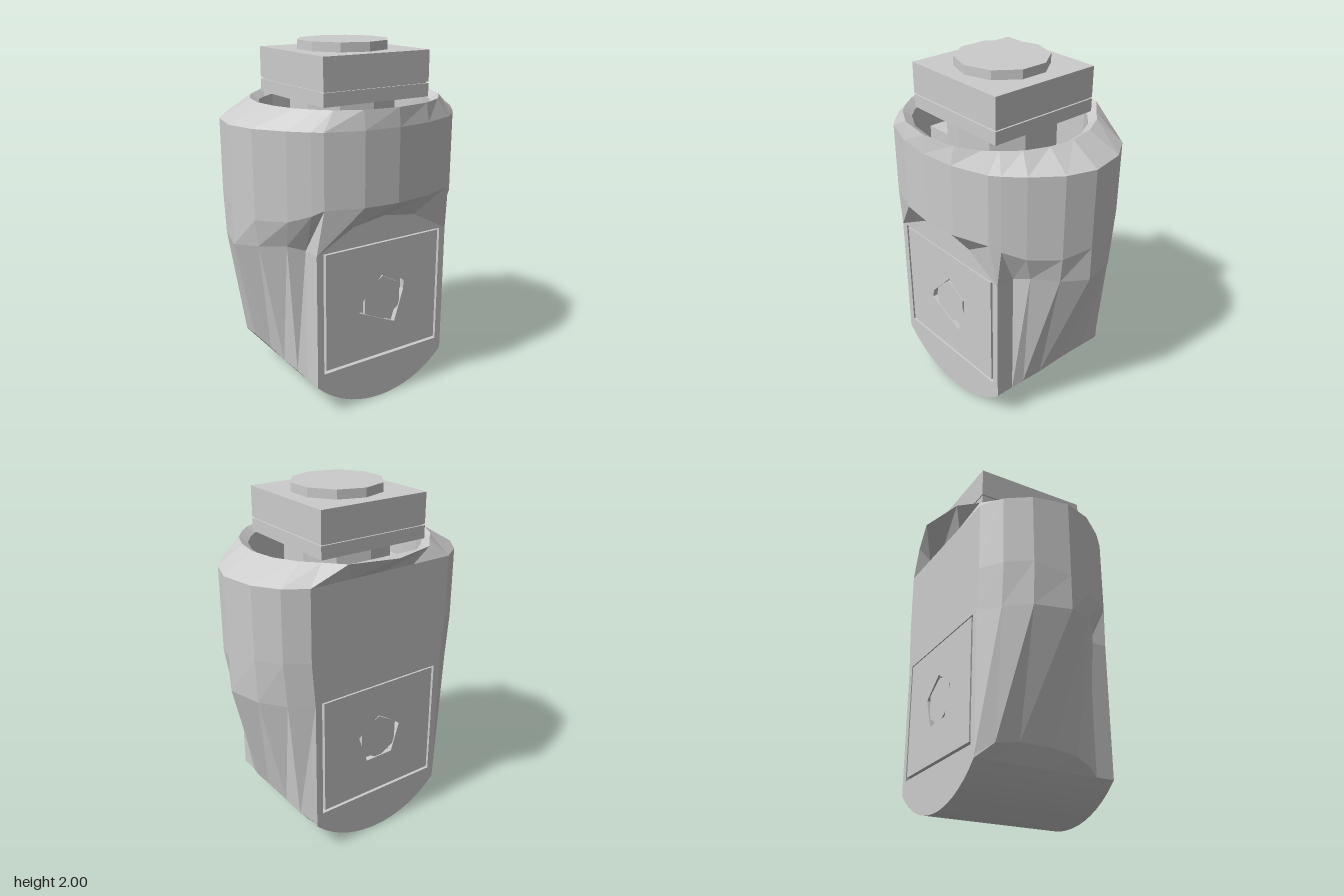
import * as THREE from 'three';

const mat = new THREE.MeshStandardMaterial({ color: 0xcccccc, flatShading: true, side: THREE.DoubleSide });

function add(parent, name, geo, x = 0, y = 0, z = 0) {
  const mesh = new THREE.Mesh(geo, mat);
  mesh.name = name;
  mesh.position.set(x, y, z);
  parent.add(mesh);
  return mesh;
}

const path = (points) => new THREE.Shape(points.map(([x, y]) => new THREE.Vector2(x, y)));
const rect = (x, y0, y1) => path([[-x, y0], [x, y0], [x, y1], [-x, y1]]);

// Half rings run from the front centre round +x to the back centre; the other half is mirrored.
const mirrorRing = (half) => [...half, ...half.slice(1, -1).reverse().map(([x, y, z]) => [-x, y, z])];

function loft(halfRings, keep = () => true) {
  const rings = halfRings.map(mirrorRing), n = rings[0].length, v = [];
  for (let r = 0; r + 1 < rings.length; r++) {
    for (let i = 0; i < n; i++) {
      if (!keep(i, n)) continue;
      const j = (i + 1) % n;
      const a = rings[r][i], b = rings[r][j], c = rings[r + 1][j], d = rings[r + 1][i];
      v.push(...a, ...b, ...c, ...a, ...c, ...d);
    }
  }
  const geo = new THREE.BufferGeometry();
  geo.setAttribute('position', new THREE.Float32BufferAttribute(v, 3));
  geo.computeVertexNormals();
  return geo;
}

// Core: round-bottomed slab with a square tunnel from front to back
function coreGeometry() {
  const R = 0.6, W = 0.43, pts = [];
  for (let i = 0; i <= 16; i++) {
    const x = -W + (2 * W * i) / 16;
    pts.push([x, R - Math.sqrt(R * R - x * x)]);
  }
  pts.push([W, 0.95], [0.2, 1.07], [0, 1.1], [-0.2, 1.07], [-W, 0.95]);
  const shape = path(pts);
  shape.holes.push(rect(0.39, 0.255, 0.955));
  return new THREE.ExtrudeGeometry(shape, { depth: 0.82, bevelEnabled: false }).translate(0, 0, -0.41);
}

export function createModel() {
  const model = new THREE.Group();
  model.name = 'model';
  add(model, 'core', coreGeometry());

  // Outline of the upper body, as x and z
  const outline = [[0, 0.53], [0.2, 0.51], [0.4, 0.44], [0.45, 0.4], [0.54, 0.31], [0.65, 0.16],
    [0.7, 0], [0.66, -0.2], [0.57, -0.33], [0.45, -0.41], [0.2, -0.41], [0, -0.41]];
  const at = (y) => outline.map(([x, z]) => [x, y, z]);

  const seam = [[0, 1.1, 0.41], [0.2, 1.07, 0.41], [0.43, 0.95, 0.41], [0.43, 0.95, 0.3],
    [0.52, 0.98, 0.26], [0.63, 0.97, 0.15], [0.7, 0.95, 0], [0.65, 0.95, -0.2],
    [0.55, 0.95, -0.33], [0.43, 0.95, -0.41], [0.2, 1.07, -0.41], [0, 1.1, -0.41]];
  const hip = [[0, 0.18, 0.41], [0.2, 0.18, 0.41], [0.43, 0.18, 0.41], [0.43, 0.18, 0.3],
    [0.46, 0.22, 0.24], [0.49, 0.25, 0.14], [0.5, 0.27, 0], [0.5, 0.27, -0.2],
    [0.49, 0.25, -0.33], [0.43, 0.2, -0.41], [0.2, 0.18, -0.41], [0, 0.18, -0.41]];
  const foot = hip.map(([x, , z]) => [Math.min(x, 0.43), 0.18, z]);

  // Flaring side walls of the lower body
  add(model, 'lowerSides', loft([foot, hip, seam], (i, n) => {
    const k = Math.min(i, n - 1 - i);
    return k >= 3 && k <= 8;
  }));

  // Upper shell with bevelled rim, rear lip and open cavity
  const chest = at(1.2);
  [[3, 1.17], [4, 1.13], [5, 1.12], [6, 1.15]].forEach(([i, y]) => { chest[i][1] = y; });
  const rim = [[0, 0.52], [0.2, 0.49], [0.33, 0.42], [0.39, 0.36], [0.46, 0.27], [0.51, 0.14],
    [0.53, 0], [0.5, -0.15], [0.43, -0.28], [0.35, -0.36], [0.26, -0.46], [0, -0.53]]
    .map(([x, z]) => [x, 1.7, z]);
  const inner = rim.map(([x, , z]) => [x * 0.91, 1.67, Math.max(z * 0.91, -0.39)]);
  const floor = inner.map(([x, , z]) => [x, 1.2, z]);
  const centre = floor.map(() => [0, 1.2, 0]);
  add(model, 'upperShell', loft([seam, chest, at(1.6), rim, inner, floor, centre]));

  // Square block filling the tunnel, with a faceted plug set in each face
  const block = new THREE.Group();
  block.name = 'tunnelBlock';
  model.add(block);
  add(block, 'blockBody', new THREE.BoxGeometry(0.75, 0.675, 0.76), 0, 0.61, 0);
  const frontHole = [[0.01, 0.78], [-0.15, 0.61], [-0.16, 0.56], [0.08, 0.45], [0.14, 0.64], [0.14, 0.69]];
  const backHole = [0, 1, 2, 3, 4].map((i) => {
    const a = (i * Math.PI * 2) / 5 + 0.3;
    return [0.15 * Math.cos(a), 0.61 + 0.15 * Math.sin(a)];
  });
  [[1, frontHole], [-1, backHole]].forEach(([side, hole]) => {
    const face = rect(0.375, 0.272, 0.947);
    face.holes.push(path(hole));
    const opts = { depth: 0.03, bevelEnabled: false };
    add(block, 'facePlate', new THREE.ExtrudeGeometry(face, opts), 0, 0, side > 0 ? 0.38 : -0.41);
    const plug = new THREE.CylinderGeometry(0.135, 0.135, 0.025, 6).rotateX(Math.PI / 2);
    add(block, 'plug', plug, 0, 0.61, side * 0.39);
  });

  // Neck rising from the cavity
  add(model, 'neck', new THREE.CylinderGeometry(0.3, 0.3, 0.55, 10), 0, 1.46, 0);
  add(model, 'neckCrossbar', new THREE.BoxGeometry(0.9, 0.3, 0.32), 0, 1.35, 0);

  // Square cap in two slabs with a thin groove between, and a round stud on top
  add(model, 'capLower', new THREE.BoxGeometry(0.67, 0.072, 0.67), 0, 1.736, 0);
  add(model, 'capGroove', new THREE.BoxGeometry(0.65, 0.03, 0.65), 0, 1.776, 0);
  add(model, 'capUpper', new THREE.BoxGeometry(0.67, 0.17, 0.67), 0, 1.865, 0);
  add(model, 'stud', new THREE.CylinderGeometry(0.255, 0.255, 0.06, 10), 0, 1.97, 0);
  return model;
}
